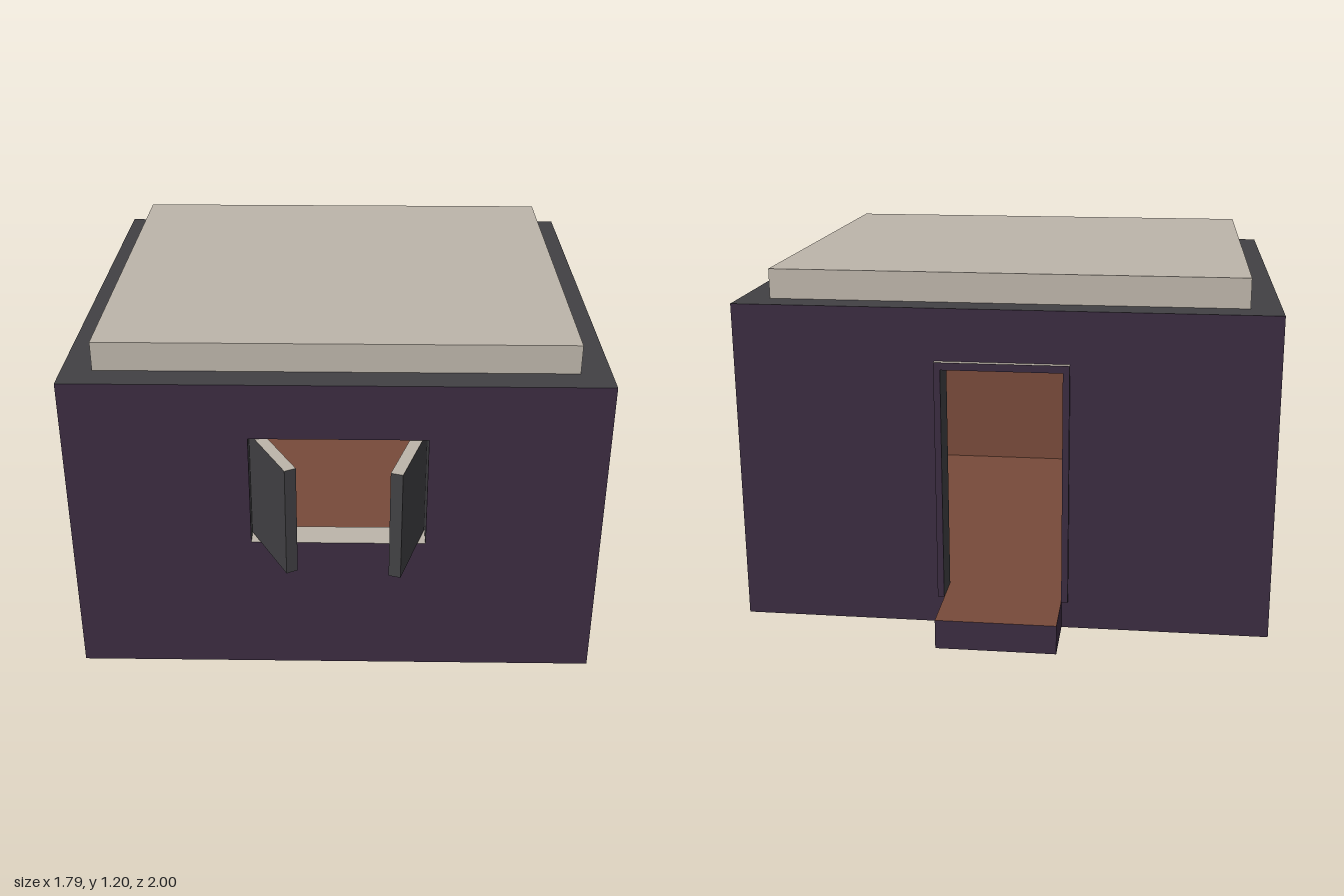
import * as THREE from 'three';

const mat = (name, color) => {
  const m = new THREE.MeshStandardMaterial({ color });
  m.name = name;
  return m;
};

export function createModel() {
  const P = mat('purple plaster', 0x3b2c41);
  const G = mat('charcoal', 0x424144);
  const S = mat('pale stone', 0xbdb5aa);
  const B = mat('terracotta', 0x784a3a);

  const house = new THREE.Group();
  house.name = 'house';

  // Box from its limits; mats are the faces +x, -x, +y, -y, +z, -z
  const box = (name, [x0, x1], [y0, y1], [z0, z1], mats, parent = house) => {
    const geo = new THREE.BoxGeometry(x1 - x0, y1 - y0, z1 - z0);
    geo.translate((x0 + x1) / 2, (y0 + y1) / 2, (z0 + z1) / 2);
    const mesh = new THREE.Mesh(geo, mats);
    mesh.name = name;
    parent.add(mesh);
    return mesh;
  };

  const W = 0.895, I = 0.793, H = 1.1, F = 0.1; // outer and inner half width, wall height, floor height
  const front = [0.69, 0.79], back = [-0.8, -0.7];

  // Floor and roof slab
  box('floor', [-I, I], [0, F], [-0.7, 0.69], [P, P, B, P, P, P]);
  box('roofSlab', [-I, I], [H, 1.2], [-0.7, 0.69], S);

  // Side walls
  box('leftWall', [I, W], [0, H], [-0.8, 0.79], [P, B, G, P, P, P]);
  box('rightWall', [-W, -I], [0, H], [-0.8, 0.79], [B, P, G, P, P, P]);

  // Front wall around the window
  const wx0 = -0.285, wx1 = 0.305, wy0 = 0.505, wy1 = 0.905;
  box('frontWallRight', [-I, wx0], [0, H], front, [G, P, G, P, P, B]);
  box('frontWallLeft', [wx1, I], [0, H], front, [P, G, G, P, P, B]);
  box('frontWallBelowWindow', [wx0, wx1], [0, wy0], front, [P, P, S, P, P, B]);
  box('frontWallAboveWindow', [wx0, wx1], [wy1, H], front, [P, P, G, G, P, B]);

  // Back wall around the doorway
  const D = 0.2, dy = 0.9;
  box('backWallRight', [-I, -D], [0, H], back, [G, P, G, P, B, P]);
  box('backWallLeft', [D, I], [0, H], back, [P, G, G, P, B, P]);
  box('backWallAboveDoor', [-D, D], [dy, H], back, [P, P, G, P, B, P]);

  // Threshold running out into the step
  box('doorStep', [-D, D], [0, F], [-1, -0.7], [P, P, B, P, P, P]);

  // Door trim
  const trim = [-0.82, -0.8], T = 0.222;
  for (const s of [-1, 1]) {
    const xs = s > 0 ? [D, T] : [-T, -D];
    box('doorTrimSide', xs, [F, dy], trim, [G, G, S, P, P, P]);
  }
  box('doorTrimTop', [-T, T], [dy, 0.925], trim, [G, G, S, P, P, P]);

  // Open shutters, hinged inside the window
  for (const [name, x, deg] of [['rightShutter', -0.278, 28], ['leftShutter', 0.285, -17.3]]) {
    const shutter = box(name, [-0.02, 0.02], [0.512, 0.897], [0, 0.3], [G, G, S, G, G, G]);
    shutter.position.set(x, 0, 0.707);
    shutter.rotation.y = THREE.MathUtils.degToRad(deg);
  }

  return house;
}
